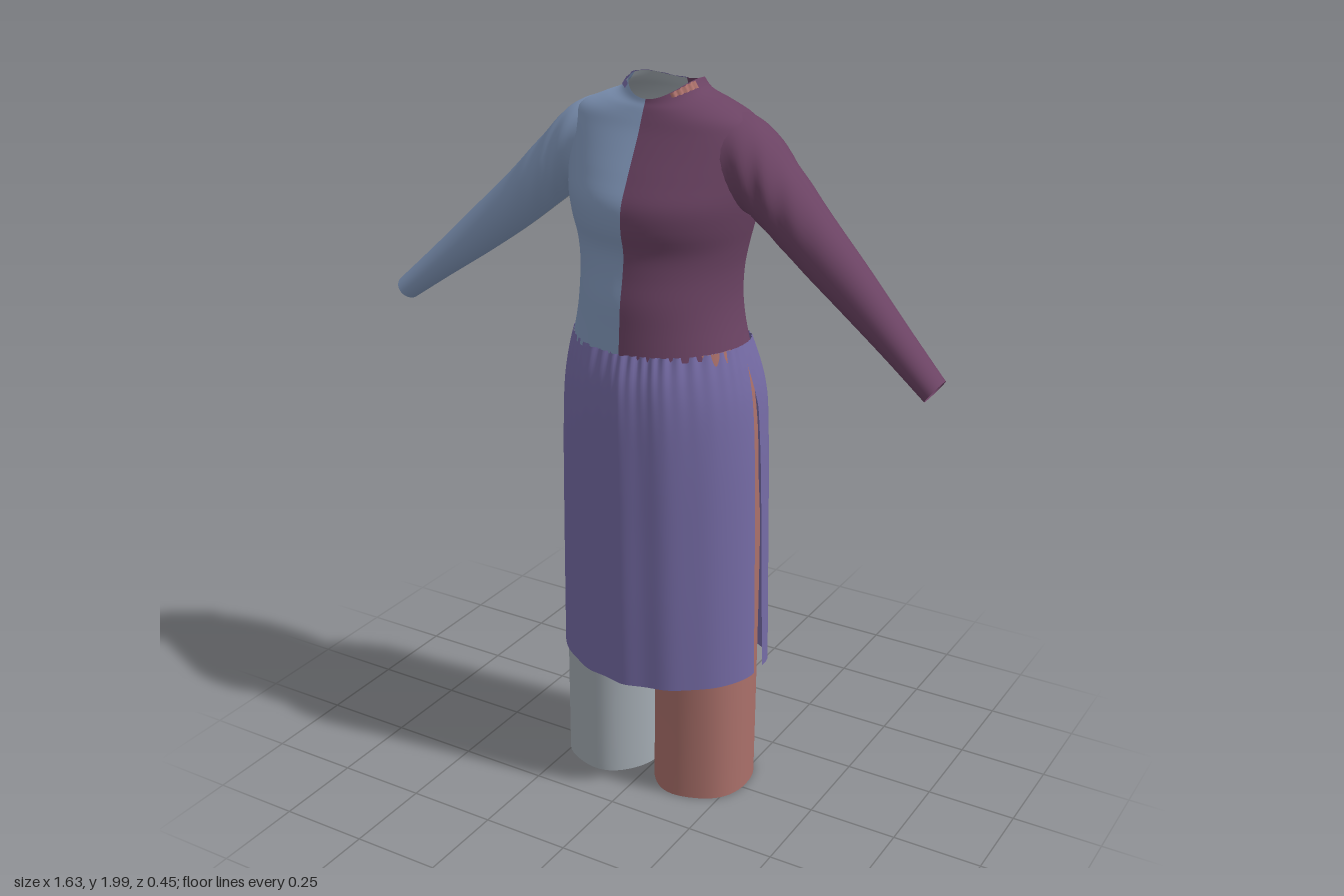
import * as THREE from 'three';

const mat = (name, color) => {
  const m = new THREE.MeshStandardMaterial({ color, side: THREE.DoubleSide });
  m.name = name;
  return m;
};
const H = Math.PI / 2;
const pow = (v, n) => Math.sign(v) * Math.pow(Math.abs(v), 2 / n);

// Smooth interpolation through rows of numbers, t in 0..1
function sample(rows, t) {
  const f = t * (rows.length - 1), i = Math.min(Math.floor(f), rows.length - 2), k = f - i;
  const at = (j) => rows[Math.max(0, Math.min(rows.length - 1, j))];
  return rows[0].map((_, c) => {
    const a = at(i - 1)[c], b = at(i)[c], d = at(i + 1)[c], e = at(i + 2)[c];
    return b + 0.5 * k * (d - a + k * (2 * a - 5 * b + 4 * d - e + k * (3 * (b - d) + e - a)));
  });
}

// Cloth surface from a rule f(u, v) -> [x, y, z]; side -1 mirrors it in x
function sheet(nu, nv, f, side = 1) {
  const pos = [], idx = [];
  for (let i = 0; i <= nu; i++) {
    for (let j = 0; j <= nv; j++) {
      const p = f(i / nu, j / nv);
      pos.push(p[0] * side, p[1], p[2]);
      if (i < nu && j < nv) {
        const a = i * (nv + 1) + j, b = a + nv + 1;
        if (side > 0) idx.push(a, b, a + 1, b, b + 1, a + 1);
        else idx.push(a, a + 1, b, b, a + 1, b + 1);
      }
    }
  }
  const g = new THREE.BufferGeometry();
  g.setAttribute('position', new THREE.Float32BufferAttribute(pos, 3));
  g.setIndex(idx);
  g.computeVertexNormals();
  return g;
}

// Bodice rows: y, half width, front z, back z, dip of the ring at front and back
const BODICE = [
  [1.32, 0.243, 0.195, -0.165, 0], [1.39, 0.228, 0.19, -0.155, 0], [1.46, 0.22, 0.185, -0.152, 0],
  [1.53, 0.222, 0.172, -0.16, 0], [1.59, 0.232, 0.167, -0.174, 0], [1.65, 0.246, 0.18, -0.187, 0],
  [1.71, 0.258, 0.178, -0.197, 0], [1.77, 0.265, 0.15, -0.202, 0], [1.83, 0.268, 0.118, -0.197, 0],
  [1.88, 0.262, 0.092, -0.187, 0], [1.915, 0.238, 0.078, -0.177, 0.003], [1.945, 0.175, 0.068, -0.166, 0.01],
  [1.97, 0.115, 0.061, -0.156, 0.022], [2.0, 0.09, 0.058, -0.148, 0.042],
];
const SEAM = -0.04;
function bodicePoint(u, a, grow = 0) {
  const [y, w, f, b, dip] = sample(BODICE, u);
  const s = Math.sin(a), d = s > 0 ? f - SEAM : SEAM - b, n = s > 0 ? 2.05 : 2.3;
  return [(w + grow) * pow(Math.cos(a), n), y - dip * (s > 0 ? 1 : 0.6) * s * s, SEAM + (d + grow) * pow(s, n)];
}

// Sleeve rows: top x, top y, underside x, underside y, middle z, half depth
const SLEEVE = [
  [0.15, 1.945, 0.225, 1.685, -0.052, 0.115], [0.265, 1.907, 0.265, 1.675, -0.05, 0.108],
  [0.365, 1.81, 0.33, 1.625, -0.042, 0.091], [0.47, 1.7, 0.425, 1.55, -0.031, 0.076],
  [0.575, 1.597, 0.54, 1.468, -0.015, 0.064], [0.7, 1.473, 0.665, 1.384, 0.01, 0.052],
  [0.815, 1.362, 0.775, 1.308, 0.034, 0.043],
];
// q runs from the underside (-H) over the front or back face to the top (H)
function sleevePoint(u, q, face) {
  const [tx, ty, bx, by, z, d] = sample(SLEEVE, u);
  const k = (1 + Math.sin(q)) / 2;
  const crease = 0.004 * Math.sin(u * 45 + q * 3) * Math.exp(-Math.pow((u - 0.25) * 6, 2));
  return [bx + (tx - bx) * k, by + (ty - by) * k, z + face * (d + crease) * Math.cos(q)];
}

// Skirt rows: y, half width, front z, back z
const SKIRT = [
  [0.375, 0.297, 0.208, -0.205], [0.6, 0.293, 0.213, -0.208], [0.83, 0.289, 0.216, -0.212],
  [1.02, 0.284, 0.22, -0.217], [1.17, 0.275, 0.223, -0.223], [1.26, 0.261, 0.218, -0.208],
  [1.335, 0.243, 0.201, -0.17],
];
function skirtPoint(u, a, face) {
  const [y, w, f, b] = sample(SKIRT, u);
  const s = Math.abs(Math.sin(a)), n = face > 0 ? 1.85 : 2.7;
  const slit = 0.028 * Math.max(0, Math.min(1, (1.28 - y) / 0.12)) + 0.025 * Math.max(0, 1.18 - y);
  const edge = face > 0 ? -0.025 : -0.025 - slit;
  const gather = 0.005 * Math.exp((y - 1.335) / 0.07) * Math.sin(46 * a + 2 * Math.sin(5 * a)) * s;
  const fold = 0.004 * Math.sin(13 * a + 0.7) * s * s;
  const d = (face > 0 ? f - edge : edge - b) + gather + fold;
  return [(w + gather) * pow(Math.cos(a), n), y, edge + face * d * pow(s, n)];
}

// Trouser rows: y, middle x, outer reach, inner reach, front z, back z
const LEG = [
  [0.008, 0.142, 0.14, 0.137, 0.13, -0.16], [0.3, 0.142, 0.14, 0.135, 0.13, -0.163],
  [0.6, 0.135, 0.145, 0.13, 0.135, -0.172], [0.8, 0.1, 0.178, 0.098, 0.14, -0.182],
  [0.95, 0, 0.276, 0, 0.155, -0.19], [1.1, 0, 0.27, 0, 0.165, -0.19],
  [1.25, 0, 0.254, 0, 0.172, -0.175], [1.335, 0, 0.232, 0, 0.175, -0.15],
];
const CROTCH = 4 / 7;
function legPoint(u, a) {
  const [y, cx, out, inn, f, b] = sample(LEG, u);
  const c = Math.cos(a), s = Math.sin(a), zc = (f + b) / 2, n = s > 0 ? 2 : 2.5;
  const ripple = 1 + 0.03 * Math.sin(4 * a) * Math.max(0, 1 - u * 2);
  const x = cx + (c > 0 ? out : Math.max(0, inn)) * pow(c, n);
  return [Math.max(0.003, x), y, zc + ((f - b) / 2) * ripple * pow(s, n)];
}

export function createModel() {
  const group = new THREE.Group();
  const plum = mat('plum', 0x6b4363), blue = mat('dustyBlue', 0x8298bb), grey = mat('paleGrey', 0xa4acb3);
  const violet = mat('violet', 0x756ba5), rose = mat('rose', 0xaa706a);
  const add = (name, geometry, material) => {
    const m = new THREE.Mesh(geometry, material);
    m.name = name;
    group.add(m);
  };

  for (const side of [1, -1]) {
    const label = side > 0 ? 'left' : 'right';
    for (const face of [1, -1]) {
      const cloth = side > 0 ? plum : face > 0 ? blue : grey;
      const part = label + (face > 0 ? 'Front' : 'Back');

      // Bodice quarter
      const a0 = face > 0 ? 0 : -H;
      add(part + 'Bodice', sheet(56, 24, (u, v) => bodicePoint(u, a0 + v * H), side), cloth);

      // Sleeve half, split along the top and underside
      add(part + 'Sleeve', sheet(48, 16,
        (u, v) => sleevePoint(u, (v - 0.5) * Math.PI * face, face), side), cloth);
    }

    // Trouser leg below the crotch and half of the seat above it
    const legCloth = side > 0 ? rose : grey;
    add(label + 'TrouserLeg', sheet(32, 56,
      (u, v) => legPoint(u * CROTCH, -H + v * 4 * H), side), legCloth);
    add(label + 'TrouserSeat', sheet(20, 28,
      (u, v) => legPoint(CROTCH + u * (1 - CROTCH), -H + v * 2 * H), side), legCloth);
  }

  // Ruffled collar trims: violet around the right of the neck, rose at the left front
  const trim = (from, to) => (u, v) =>
    bodicePoint(0.955 + 0.045 * u, from + v * (to - from), 0.005 + 0.003 * Math.sin(v * 30));
  add('rightCollarTrim', sheet(4, 32, trim(-H, 0.7), -1), violet);
  add('leftCollarTrim', sheet(4, 16, trim(0.15, 0.9)), rose);

  // Trouser waistband peeping out at the back
  add('waistbandPeep', sheet(4, 10,
    (u, v) => bodicePoint(0.02 + 0.03 * u * Math.sin(v * Math.PI), -1.31 + v * 0.39, 0.004)), rose);

  // Skirt panels with open side slits
  add('frontSkirtPanel', sheet(44, 140, (u, v) => skirtPoint(u, v * Math.PI, 1)), violet);
  add('backSkirtPanel', sheet(44, 140, (u, v) => skirtPoint(u, (1 + v) * Math.PI, -1)), violet);

  return group;
}
